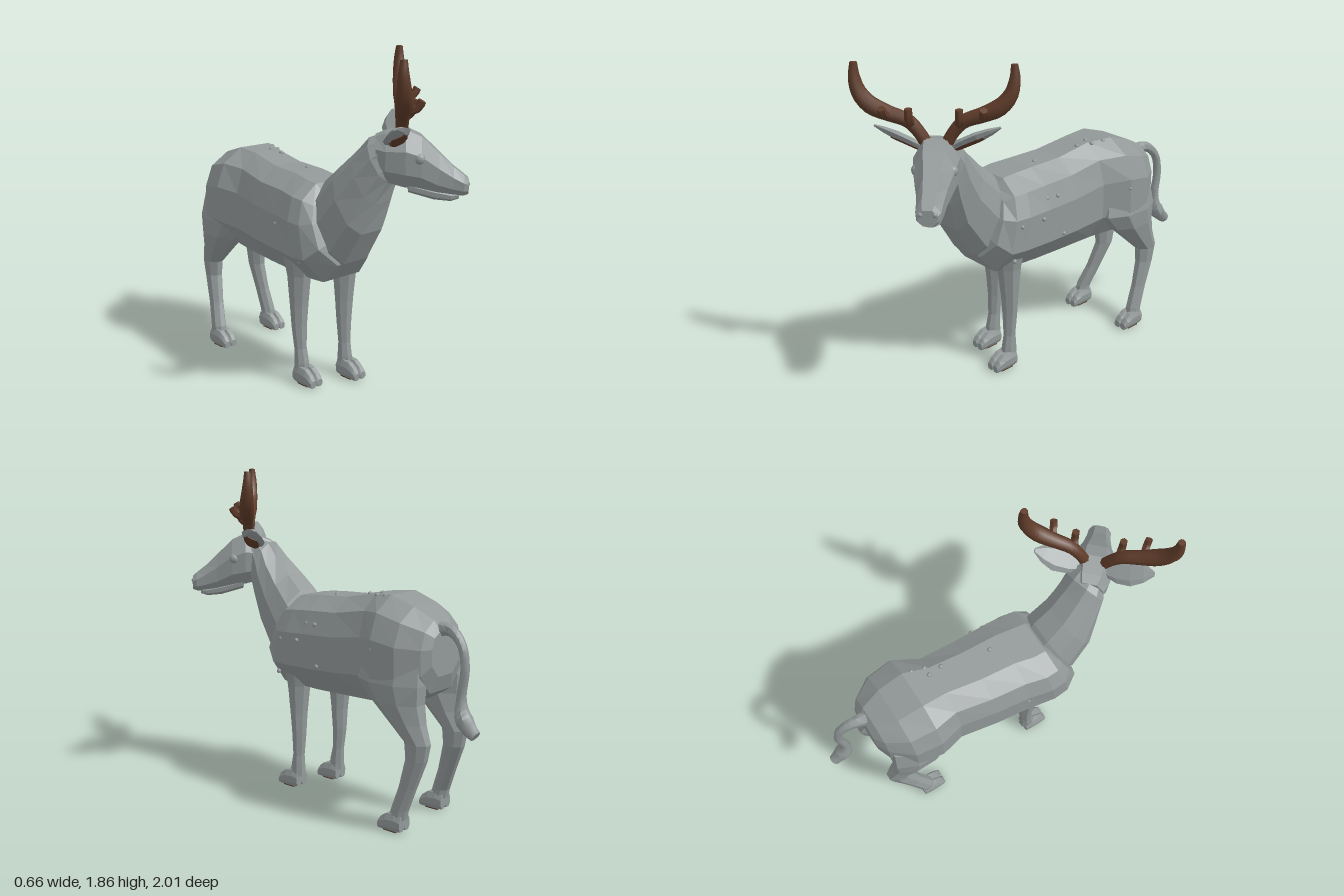
import * as THREE from 'three';
import { toCreasedNormals } from 'three/addons/utils/BufferGeometryUtils.js';

const hide = new THREE.MeshStandardMaterial({ color: 0x929898 });
hide.name = 'grey hide';
const horn = new THREE.MeshStandardMaterial({ color: 0x5e3b29 });
horn.name = 'brown horn';

// Cross-section outlines, counter-clockwise from the right
const round = n => Array.from({ length: n }, (_, i) => {
  const a = ((i + 0.5) / n) * Math.PI * 2;
  return [Math.cos(a) / Math.cos(Math.PI / n), Math.sin(a) / Math.cos(Math.PI / n)];
});
const OCT = round(8);
const BARREL = [[1, 0.25], [0.82, 0.72], [0.38, 1], [-0.38, 1], [-0.82, 0.72],
  [-1, 0.25], [-1, -0.46], [-0.52, -1], [0.52, -1], [1, -0.46]];
const SKULL = [[1, 0.3], [0.5, 1], [-0.5, 1], [-1, 0.3], [-0.95, -0.5], [-0.5, -1], [0.5, -1], [0.95, -0.5]];
const NECK = [[1, 0.1], [0.8, 0.65], [0.35, 1], [-0.35, 1], [-0.8, 0.65],
  [-1, 0.1], [-0.85, -0.65], [-0.45, -1], [0.45, -1], [0.85, -0.65]];
const LEAF = [[1, 0.6], [0, 1], [-1, 0.6], [-1, -0.6], [0, -1], [1, -0.6]];

// Skin a list of rings of points, with both ends closed
function skin(rings, crease = 0.02) {
  const out = [];
  const tri = (...p) => p.forEach(v => out.push(v.x, v.y, v.z));
  const mid = r => r.reduce((s, v) => s.add(v), new THREE.Vector3()).divideScalar(r.length);
  const n = rings[0].length, first = rings[0], last = rings[rings.length - 1];
  const c0 = mid(first), c1 = mid(last);
  for (let j = 0; j < n; j++) {
    const k = (j + 1) % n;
    for (let i = 0; i < rings.length - 1; i++) {
      const a = rings[i], b = rings[i + 1];
      tri(a[j], a[k], b[k]);
      tri(a[j], b[k], b[j]);
    }
    tri(c0, first[k], first[j]);
    tri(c1, last[j], last[k]);
  }
  const g = new THREE.BufferGeometry();
  g.setAttribute('position', new THREE.Float32BufferAttribute(out, 3));
  return toCreasedNormals(g, crease);
}

// Rows are [x, y, z, halfWidth, halfHeight, pitch, yaw] in degrees
function loft(rows, outline, basePitch = 0) {
  const d = Math.PI / 180;
  return skin(rows.map(([x, y, z, w, h, pitch = basePitch, yaw = 0]) => {
    const e = new THREE.Euler(pitch * d, yaw * d, 0, 'YXZ');
    return outline.map(([px, py]) =>
      new THREE.Vector3(px * w, py * h, 0).applyEuler(e).add(new THREE.Vector3(x, y, z)));
  }));
}

// Tube along a curve with a radius that changes
function taper(points, radii, steps, sides) {
  const curve = new THREE.CatmullRomCurve3(points.map(p => new THREE.Vector3(...p)));
  const f = curve.computeFrenetFrames(steps);
  const rings = [];
  for (let i = 0; i <= steps; i++) {
    const t = i / steps, q = t * (radii.length - 1), a = Math.min(Math.floor(q), radii.length - 2);
    const r = THREE.MathUtils.lerp(radii[a], radii[a + 1], q - a), p = curve.getPointAt(t);
    rings.push(round(sides).map(([u, v]) =>
      p.clone().addScaledVector(f.normals[i], u * r).addScaledVector(f.binormals[i], v * r)));
  }
  return skin(rings, 0.9);
}

function add(parent, name, geometry, material = hide, pos = [0, 0, 0]) {
  const m = new THREE.Mesh(geometry, material);
  m.name = name;
  m.position.set(...pos);
  parent.add(m);
}

// Cloven hoof: two blunt toes, each with a thin sole
function addHoof(parent, x, z) {
  const hoof = new THREE.Group();
  hoof.name = 'hoof';
  hoof.position.set(x, 0, z);
  for (const s of [-1, 1]) {
    const cx = s * 0.023;
    add(hoof, 'toe', loft([[cx, 0.05, -0.07, 0.024, 0.04], [cx, 0.054, -0.03, 0.028, 0.05],
      [cx, 0.05, 0.025, 0.028, 0.046], [cx, 0.038, 0.06, 0.026, 0.034], [cx, 0.024, 0.08, 0.02, 0.02]], SKULL));
    add(hoof, 'sole', new THREE.BoxGeometry(0.03, 0.006, 0.08), horn, [cx, 0.003, 0]);
  }
  parent.add(hoof);
}

export function createModel() {
  const deer = new THREE.Group();
  deer.name = 'deer';

  // Trunk, from rump to collar
  add(deer, 'torso', loft([
    [0.06, 0.96, -0.75, 0.12, 0.12], [0.05, 0.94, -0.715, 0.18, 0.19], [0.035, 0.935, -0.6, 0.268, 0.255],
    [0.025, 0.952, -0.45, 0.285, 0.285], [0, 0.933, -0.31, 0.225, 0.292], [-0.02, 0.91, -0.1, 0.243, 0.275],
    [-0.035, 0.903, 0.1, 0.255, 0.272], [-0.055, 0.898, 0.25, 0.268, 0.268, -8],
    [-0.06, 0.895, 0.335, 0.258, 0.263, -11], [-0.06, 0.925, 0.4, 0.215, 0.195, -21],
    [-0.06, 0.925, 0.415, 0.15, 0.14, -22],
  ], BARREL));

  // Neck, curving up and round to the head
  add(deer, 'neck', loft([
    [-0.06, 0.89, 0.33, 0.18, 0.2, -22], [-0.06, 0.96, 0.405, 0.188, 0.225, -22],
    [-0.058, 1.095, 0.51, 0.17, 0.185, -29], [-0.035, 1.225, 0.582, 0.145, 0.145, -27, 5],
    [-0.015, 1.325, 0.632, 0.127, 0.122, -28, 15], [0.02, 1.395, 0.68, 0.09, 0.078, -20, 30],
  ], NECK));

  // Legs: rows run from hip to fetlock
  const frontLeg = (x, z, dz) => {
    add(deer, 'frontLeg', loft([
      [x + Math.sign(x) * 0.02, 0.82, z, 0.08, 0.1], [x, 0.63, z, 0.064, 0.066], [x, 0.45, z, 0.052, 0.046],
      [x, 0.33, z, 0.043, 0.04], [x, 0.2, z + dz * 0.5, 0.034, 0.033],
      [x, 0.12, z + dz, 0.038, 0.042], [x, 0.07, z + dz, 0.04, 0.044],
    ], OCT, 90));
    addHoof(deer, x, z + dz + 0.045);
  };
  frontLeg(0.07, 0.275, 0.01);
  frontLeg(-0.18, 0.175, 0.02);

  const hindLeg = (thigh, hock, foot, dz) => {
    add(deer, 'hindLeg', loft([
      [thigh - Math.sign(thigh) * 0.02, 0.94, -0.53, 0.085, 0.17], [thigh, 0.8, -0.52, 0.096, 0.195],
      [thigh, 0.7, -0.56, 0.09, 0.15], [(thigh + hock) / 2, 0.6, -0.625, 0.07, 0.105],
      [hock, 0.5, -0.698, 0.05, 0.07], [hock, 0.41, -0.693, 0.044, 0.058],
      [(hock + foot) / 2, 0.25, -0.645 + dz / 2, 0.037, 0.048], [foot, 0.12, -0.6 + dz, 0.039, 0.047],
      [foot, 0.07, -0.59 + dz, 0.041, 0.047],
    ], OCT, 90));
    addHoof(deer, foot, -0.56 + dz);
  };
  hindLeg(0.215, 0.222, 0.235, 0);
  hindLeg(-0.145, -0.12, -0.18, 0.025);

  // Tail with a blunt tuft
  add(deer, 'tail', taper([[0.07, 1.07, -0.68], [0.09, 1.085, -0.8], [0.11, 1.02, -0.88], [0.115, 0.9, -0.905],
    [0.115, 0.76, -0.888], [0.12, 0.66, -0.9], [0.125, 0.595, -0.95], [0.125, 0.57, -0.985]],
  [0.045, 0.03, 0.023, 0.022, 0.022, 0.024, 0.045, 0.028], 22, 7));

  // Head, turned to its left
  const head = new THREE.Group();
  head.name = 'head';
  head.position.set(0.033, 0, 0.71);
  head.rotation.y = THREE.MathUtils.degToRad(44);
  deer.add(head);
  add(head, 'skull', loft([
    [0, 1.36, -0.13, 0.08, 0.085], [0, 1.34, -0.08, 0.103, 0.125], [0, 1.337, 0.02, 0.118, 0.147],
    [0, 1.315, 0.1, 0.107, 0.133], [0, 1.258, 0.19, 0.08, 0.106], [0, 1.22, 0.265, 0.067, 0.073],
    [0, 1.199, 0.318, 0.063, 0.053], [0, 1.193, 0.342, 0.05, 0.04],
  ], SKULL));
  add(head, 'lowerJaw', loft([[0, 1.19, 0.04, 0.065, 0.03], [0, 1.155, 0.17, 0.056, 0.032],
    [0, 1.14, 0.255, 0.049, 0.025], [0, 1.143, 0.295, 0.038, 0.016]], SKULL));

  for (const s of [-1, 1]) {
    add(head, 'eye', new THREE.SphereGeometry(0.034, 14, 10), hide, [s * 0.084, 1.342, 0.088]);
    add(head, 'nostril', new THREE.SphereGeometry(0.014, 10, 8), hide, [s * 0.036, 1.21, 0.335]);

    // Ear opening outward and down, with a coloured inner face
    const ear = new THREE.Group();
    ear.name = 'ear';
    ear.position.set(s * 0.075, 1.425, -0.02);
    ear.rotation.set(-0.4, s * 1.65, s * 1.1, 'YXZ');
    head.add(ear);
    add(ear, 'earShell', loft([[0, 0, 0, 0.018, 0.035], [0, 0, 0.06, 0.02, 0.065], [0, 0, 0.14, 0.02, 0.074],
      [0, 0, 0.21, 0.014, 0.05], [0, 0, 0.265, 0.005, 0.012]], LEAF));
    add(ear, 'innerEar', loft([[0, 0, 0.015, 0.004, 0.03], [0, 0, 0.06, 0.004, 0.046],
      [0, 0, 0.135, 0.004, 0.05], [0, 0, 0.165, 0.004, 0.03]], LEAF), horn, [-s * 0.0185, 0, 0]);

    // Antler beam and its two tines
    const at = pts => pts.map(([x, y, z]) => [s * x, y, z]);
    add(head, 'antler', taper(at([[0.045, 1.44, 0], [0.085, 1.51, 0], [0.14, 1.57, 0], [0.24, 1.608, 0], [0.325, 1.65, 0],
      [0.375, 1.71, -0.005], [0.395, 1.79, -0.01], [0.393, 1.86, -0.01]]),
    [0.03, 0.03, 0.033, 0.036, 0.042, 0.038, 0.029, 0.017], 20, 8), horn);
    add(head, 'innerTine', taper(at([[0.12, 1.55, 0], [0.125, 1.59, 0.045], [0.125, 1.645, 0.05]]),
      [0.022, 0.02, 0.018], 5, 6), horn);
    add(head, 'outerTine', taper(at([[0.24, 1.6, 0], [0.245, 1.62, 0.065], [0.25, 1.655, 0.085]]),
      [0.022, 0.02, 0.018], 5, 6), horn);
  }

  // Small bumps scattered on the hide
  const bump = new THREE.IcosahedronGeometry(0.013, 1);
  [[0.2, 0.92, 0.29], [0.22, 0.93, 0.15], [0.19, 1.03, 0.1], [0.2, 1.03, 0.03], [0.22, 0.8, 0], [0.18, 0.72, 0.33],
    [0.27, 0.77, -0.42], [0.3, 0.97, -0.45], [0.06, 1.215, -0.25], [0.01, 1.178, 0.03], [0.05, 1.226, -0.33],
    [0.1, 1.22, -0.33], [0.12, 1.225, -0.4], [-0.29, 0.75, 0.3], [-0.285, 0.92, 0.1], [-0.24, 0.98, -0.5]]
    .forEach(p => add(deer, 'skinBump', bump, hide, p));

  return deer;
}
